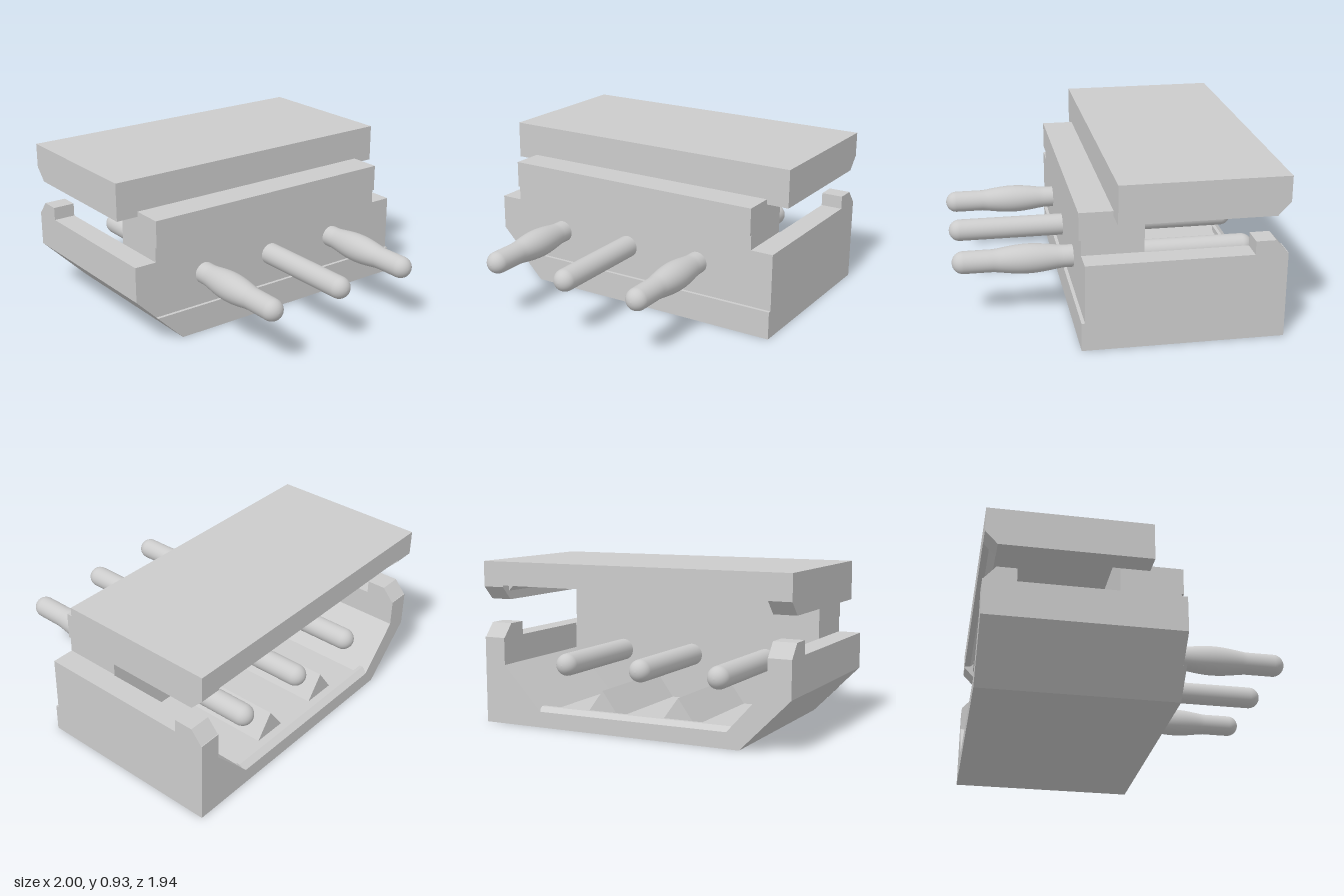
import * as THREE from 'three';

const material = new THREE.MeshStandardMaterial({ color: 0xcccccc, flatShading: true });
const smooth = new THREE.MeshStandardMaterial({ color: 0xcccccc });

// Main sections of the housing, in its own axes
const L = -0.905, R = 0.974;          // outer sides
const IL = -0.773, IR = 0.845;        // inner sides
const BACK = -0.857, WALL = -0.1, FRONT = 0.243;

const toShape = pts => new THREE.Shape(pts.map(([a, b]) => new THREE.Vector2(a, b)));

export function createModel() {
  const model = new THREE.Group();
  const housing = new THREE.Group();
  housing.name = 'connector';
  model.add(housing);

  const add = (name, geometry, mat = material) => {
    const mesh = new THREE.Mesh(geometry, mat);
    mesh.name = name;
    housing.add(mesh);
    return mesh;
  };
  // Outline in x,y pushed along z
  const alongZ = (name, pts, z0, z1) => {
    const g = new THREE.ExtrudeGeometry(toShape(pts), { depth: z1 - z0, bevelEnabled: false });
    add(name, g.translate(0, 0, z0));
  };
  // Outline in z,y pushed along x
  const alongX = (name, pts, x0, x1) => {
    const g = new THREE.ExtrudeGeometry(toShape(pts), { depth: x1 - x0, bevelEnabled: false });
    add(name, g.rotateY(-Math.PI / 2).translate(x1, 0, 0));
  };
  const box = (name, x0, x1, y0, y1, z0, z1) =>
    add(name, new THREE.BoxGeometry(x1 - x0, y1 - y0, z1 - z0)
      .translate((x0 + x1) / 2, (y0 + y1) / 2, (z0 + z1) / 2));

  // Lower tray with chamfered inside corners, and its solid front
  const outer = [[L, 0.495], [L, 0.287], [-0.617, 0], [R, 0], [R, 0.495]];
  alongZ('tray', [...outer,
    [IR, 0.495], [IR, 0.34], [0.6, 0.08], [-0.535, 0.08], [IL, 0.34], [IL, 0.495]], BACK, WALL);
  alongZ('frontWall', outer, WALL, FRONT);
  alongZ('frontSkirt', [[-0.617, 0], [R, 0], [R, 0.163], [-0.781, 0.163]], FRONT, 0.262);
  alongX('trayLip', [[BACK, 0.07], [-0.8, 0.07], [-0.8, 0.115], [-0.82, 0.115], [BACK, 0.09]], -0.56, 0.62);

  // Latch posts on the rear ends of the tray walls
  for (const [x0, x1] of [[L, IL], [IR, R]]) {
    alongX('latchPost', [[BACK, 0.49], [-0.675, 0.49], [-0.675, 0.572], [-0.786, 0.572]], x0, x1);
  }

  // Neck between tray and lid
  box('neck', IL, 0.84, 0.49, 0.72, WALL, FRONT);
  box('neckLedge', IL, 0.84, 0.582, 0.74, 0.05, 0.256);

  // Lid: plate, front bar, side rails with bevelled feet, rear lip
  const LR = 0.972;
  box('lidPlate', IL, IR, 0.85, 0.93, BACK, WALL);
  box('lidFront', IL, IR, 0.71, 0.93, WALL, 0.068);
  const rail = [[BACK, 0.93], [BACK, 0.785], [-0.786, 0.71], [0.068, 0.71], [0.068, 0.93]];
  alongX('lidRail', rail, L, IL);
  alongX('lidRail', rail, IR, LR);
  alongX('lidLip', [[BACK, 0.86], [BACK, 0.795], [-0.82, 0.795], [-0.765, 0.86]], IL, IR);
  alongZ('lidCorner', [[IL, 0.76], [IL + 0.1, 0.86], [IL, 0.86]], -0.8, WALL);
  alongZ('lidCorner', [[IR, 0.76], [IR, 0.86], [IR - 0.1, 0.86]], -0.8, WALL);

  // Contact pins, the outer two swollen in front
  const pinX = [-0.446, 0.028, 0.5], r = 0.064, z0 = -0.8, z1 = 0.918;
  pinX.forEach((x, i) => {
    const pts = [];
    for (let k = 0; k <= 8; k++) {
      const a = (k / 8) * Math.PI / 2;
      pts.push(new THREE.Vector2(r * Math.sin(a), z0 + r - r * Math.cos(a)));
    }
    if (i !== 1) {
      for (let k = 0; k <= 12; k++) {
        const t = k / 12;
        pts.push(new THREE.Vector2(r + 0.02 * Math.pow(Math.sin(t * Math.PI), 1.2), 0.3 + t * 0.39));
      }
    }
    for (let k = 0; k <= 8; k++) {
      const a = (k / 8) * Math.PI / 2;
      pts.push(new THREE.Vector2(r * Math.cos(a), z1 - r + r * Math.sin(a)));
    }
    const g = new THREE.LatheGeometry(pts, 32).rotateX(Math.PI / 2).translate(x, 0.35, 0);
    add('pin', g, smooth);
  });

  // Ridges on the tray floor between the pins
  for (const x of [-0.209, 0.264]) {
    alongZ('floorRidge', [[x - 0.11, 0.07], [x + 0.11, 0.07], [x, 0.22]], -0.75, WALL);
  }

  housing.rotation.y = 0.1234;
  return model;
}
